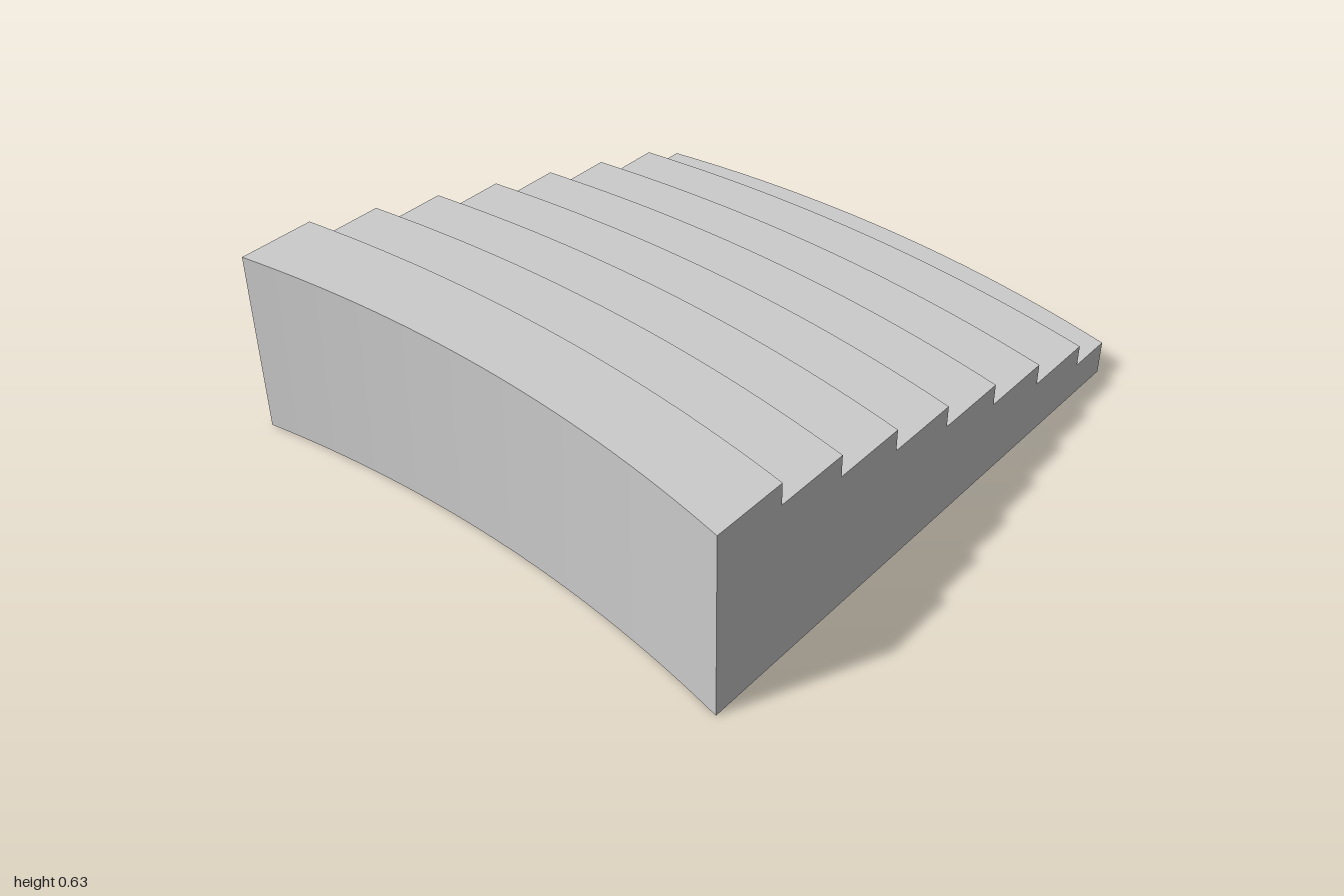
import * as THREE from 'three';
import { toCreasedNormals } from 'three/addons/utils/BufferGeometryUtils.js';

const HALF_DEPTH = 0.905;
const STEPS = 8;
const TOP = 0.63;
const RISE = 0.0735;

// Bows a profile edge towards +x at mid depth, along a circular arc.
function bow(z, sagitta) {
  const r = (HALF_DEPTH ** 2 + sagitta ** 2) / (2 * sagitta);
  return Math.sqrt(r * r - z * z) - (r - sagitta);
}

export function createModel() {
  const group = new THREE.Group();
  group.name = 'curvedSteps';

  // Stepped side profile, from the tall end down to the low end
  const profile = new THREE.Shape();
  profile.moveTo(-1, 0);
  profile.lineTo(0.91, 0);
  for (let i = STEPS - 1; i >= 0; i--) {
    const y = TOP - i * RISE;
    const outer = i === STEPS - 1 ? 0.91 : -0.75 + i * 0.251;
    const inner = i === 0 ? -1 : -0.75 + (i - 1) * 0.251;
    profile.lineTo(outer, y);
    profile.lineTo(inner, y);
  }
  profile.closePath();

  let geometry = new THREE.ExtrudeGeometry(profile, {
    depth: 2 * HALF_DEPTH, steps: 32, bevelEnabled: false,
  });
  geometry.translate(0, 0, -HALF_DEPTH);

  // Curve the risers and the two outer walls
  const p = geometry.attributes.position;
  for (let i = 0; i < p.count; i++) {
    const x = p.getX(i);
    const sagitta = x < -0.9 || x > 0.85 ? 0.09 : 0.076;
    p.setX(i, x + bow(p.getZ(i), sagitta));
  }
  geometry = toCreasedNormals(geometry, 0.5);

  const steps = new THREE.Mesh(geometry, new THREE.MeshStandardMaterial({ color: 0xcccccc }));
  steps.name = 'steppedSeating';
  group.add(steps);
  return group;
}
